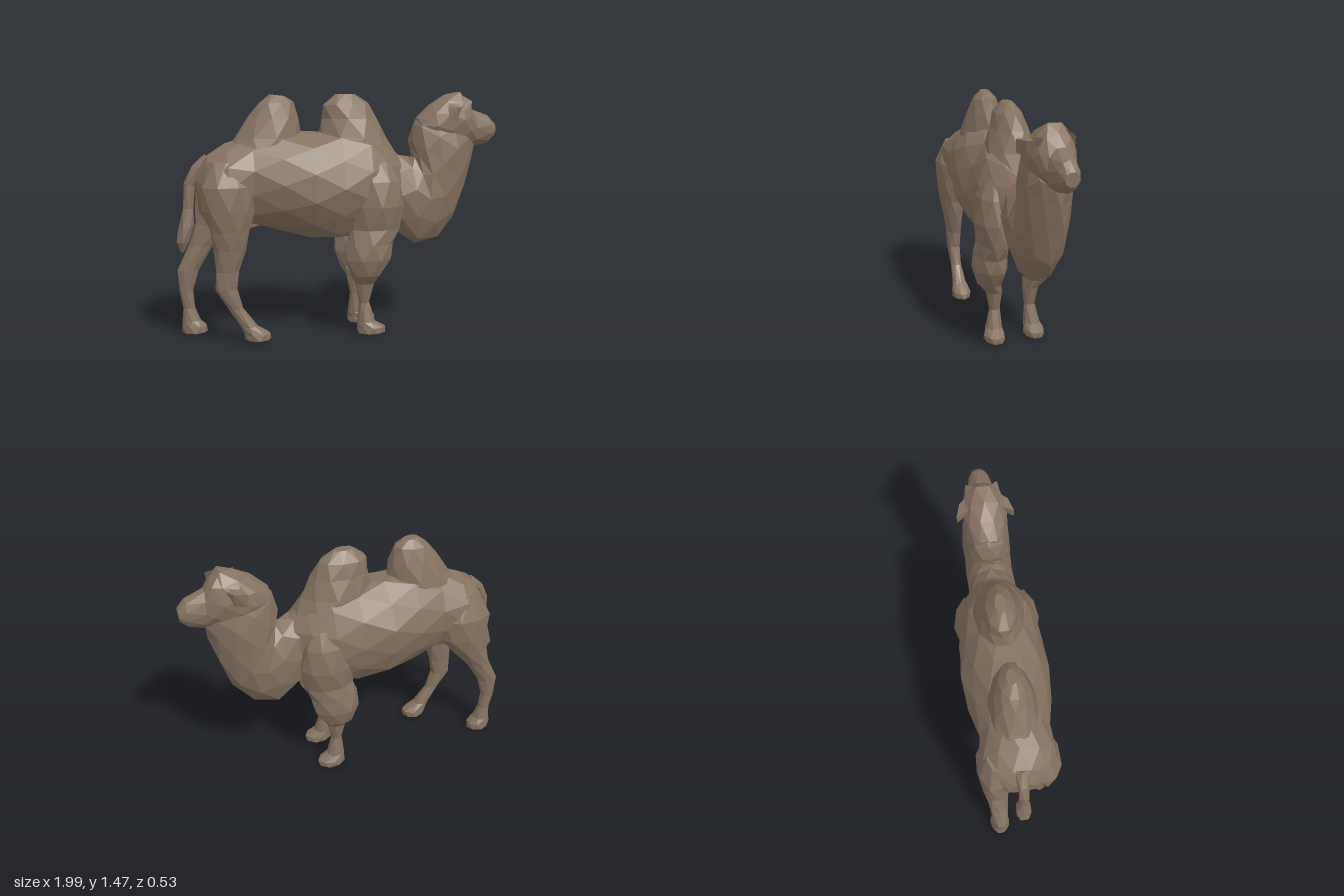
import * as THREE from 'three';
import { ConvexGeometry } from 'three/addons/geometries/ConvexGeometry.js';

const coat = new THREE.MeshStandardMaterial({ color: 0x85725f, flatShading: true });
coat.name = 'brown coat';

// Faceted loft. Each section is [px, py, qx, qy, halfWidth, z]: p and q are opposite
// points of the ring in the side plane. Alternate rings are turned by half a step.
function loft(name, sections, n = 10, rough = 0.025) {
  const pos = [], idx = [];
  sections.forEach(([px, py, qx, qy, b, z = 0], i) => {
    for (let j = 0; j < n; j++) {
      const t = ((j + (i % 2) / 2) / n) * Math.PI * 2;
      const k = 1.02 + rough * Math.sin(7 * i + 3.3 * j);
      const c = (Math.cos(t) * k) / 2, s = Math.sin(t) * k;
      pos.push((px + qx) / 2 + (px - qx) * c, (py + qy) / 2 + (py - qy) * c, z + b * s);
    }
  });
  const at = (i, j) => i * n + (j % n);
  const last = sections.length - 1;
  for (let i = 0; i < last; i++) {
    for (let j = 0; j < n; j++) {
      if (i % 2 === 0) {
        idx.push(at(i, j), at(i, j + 1), at(i + 1, j));
        idx.push(at(i + 1, j), at(i, j + 1), at(i + 1, j + 1));
      } else {
        idx.push(at(i, j), at(i + 1, j + 1), at(i + 1, j));
        idx.push(at(i, j), at(i, j + 1), at(i + 1, j + 1));
      }
    }
  }
  // end caps
  for (let j = 1; j < n - 1; j++) {
    idx.push(at(0, 0), at(0, j + 1), at(0, j));
    idx.push(at(last, 0), at(last, j), at(last, j + 1));
  }
  const g = new THREE.BufferGeometry();
  g.setAttribute('position', new THREE.Float32BufferAttribute(pos, 3));
  g.setIndex(idx);
  g.computeVertexNormals();
  const mesh = new THREE.Mesh(g, coat);
  mesh.name = name;
  return mesh;
}

// Small convex lump from a few corner points, mirrored by side
function lump(name, points, side = 1) {
  const g = new ConvexGeometry(points.map(([x, y, z]) => new THREE.Vector3(x, y, z * side)));
  const mesh = new THREE.Mesh(g, coat);
  mesh.name = name;
  return mesh;
}

// Leg sections are [backX, frontX, y, halfWidth, z], top to bottom
const leg = (name, side, rows) =>
  loft(name, rows.map(([back, front, y, b, z]) => [front, y, back, y, b, z * side]), 8);

export function createModel() {
  const model = new THREE.Group();
  model.name = 'camel';

  // Trunk, rump to chest
  model.add(loft('body', [
    [-0.87, 1.02, -0.86, 0.78, 0.09],
    [-0.81, 1.11, -0.81, 0.70, 0.19],
    [-0.70, 1.17, -0.70, 0.68, 0.225],
    [-0.55, 1.22, -0.55, 0.70, 0.20],
    [-0.38, 1.24, -0.38, 0.65, 0.235],
    [-0.20, 1.24, -0.20, 0.61, 0.26],
    [-0.02, 1.24, -0.02, 0.59, 0.24],
    [0.15, 1.25, 0.15, 0.61, 0.23],
    [0.28, 1.16, 0.28, 0.65, 0.19],
    [0.38, 1.08, 0.36, 0.70, 0.11],
  ], 12));

  // Humps, base to crown
  model.add(loft('rearHump', [
    [-0.72, 1.10, -0.22, 1.10, 0.15],
    [-0.64, 1.21, -0.25, 1.21, 0.13],
    [-0.55, 1.34, -0.26, 1.32, 0.10],
    [-0.50, 1.41, -0.29, 1.42, 0.07],
    [-0.43, 1.465, -0.34, 1.455, 0.03],
  ], 9));
  model.add(loft('frontHump', [
    [-0.18, 1.10, 0.36, 1.08, 0.16],
    [-0.13, 1.22, 0.28, 1.20, 0.14],
    [-0.11, 1.32, 0.22, 1.32, 0.105],
    [-0.11, 1.40, 0.17, 1.41, 0.08],
    [-0.03, 1.465, 0.09, 1.465, 0.03],
  ], 9));

  // Low-slung neck curving up to the throat
  model.add(loft('neck', [
    [0.22, 1.15, 0.24, 0.74, 0.13],
    [0.35, 1.10, 0.36, 0.61, 0.145],
    [0.43, 1.07, 0.48, 0.53, 0.145],
    [0.46, 1.08, 0.62, 0.57, 0.14],
    [0.455, 1.12, 0.73, 0.70, 0.14],
    [0.44, 1.18, 0.80, 0.90, 0.14],
    [0.46, 1.28, 0.84, 1.06, 0.135],
    [0.53, 1.37, 0.86, 1.15, 0.11],
  ]));

  // Skull and muzzle
  model.add(loft('head', [
    [0.48, 1.32, 0.52, 1.18, 0.08],
    [0.57, 1.40, 0.60, 1.14, 0.12],
    [0.66, 1.455, 0.68, 1.13, 0.13],
    [0.75, 1.48, 0.76, 1.13, 0.12],
    [0.80, 1.43, 0.81, 1.14, 0.105],
    [0.84, 1.37, 0.87, 1.14, 0.08],
    [0.95, 1.33, 0.95, 1.16, 0.06],
    [0.995, 1.28, 0.99, 1.20, 0.04],
  ], 10, 0.01));

  for (const side of [1, -1]) {
    const tag = side > 0 ? 'right' : 'left';
    // Ear sweeping back and out
    model.add(lump(tag + 'Ear', [
      [0.76, 1.39, 0.08], [0.66, 1.40, 0.08], [0.68, 1.31, 0.09],
      [0.63, 1.38, 0.165], [0.635, 1.31, 0.165], [0.70, 1.30, 0.13],
      [0.71, 1.385, 0.14],
    ], side));
    // Heavy brow over the eye
    model.add(lump(tag + 'Brow', [
      [0.66, 1.43, 0.06], [0.66, 1.39, 0.11], [0.77, 1.45, 0.05],
      [0.81, 1.42, 0.09], [0.80, 1.37, 0.10], [0.75, 1.36, 0.11],
    ], side));
    // Foreleg with shoulder and bulky forearm
    model.add(leg(tag + 'Foreleg', side, [
      [0.10, 0.26, 1.10, 0.06, 0.11],
      [0.06, 0.33, 0.95, 0.09, 0.15],
      [0.04, 0.35, 0.80, 0.10, 0.16],
      [0.03, 0.33, 0.66, 0.09, 0.145],
      [0.0, 0.29, 0.57, 0.10, 0.15],
      [-0.01, 0.28, 0.48, 0.105, 0.15],
      [0.03, 0.22, 0.38, 0.075, 0.15],
      [0.065, 0.185, 0.32, 0.05, 0.12],
      [0.09, 0.155, 0.20, 0.034, 0.115],
      [0.08, 0.19, 0.08, 0.05, 0.125],
      [0.08, 0.25, 0.045, 0.062, 0.13],
      [0.08, 0.25, 0.01, 0.062, 0.13],
    ]));
  }

  // Hind legs in mid-stride: one forward, one trailing
  model.add(leg('rightHindLeg', 1, [
    [-0.80, -0.62, 1.08, 0.07, 0.11],
    [-0.86, -0.55, 0.94, 0.09, 0.15],
    [-0.85, -0.55, 0.80, 0.09, 0.15],
    [-0.81, -0.58, 0.68, 0.08, 0.145],
    [-0.79, -0.60, 0.57, 0.065, 0.14],
    [-0.78, -0.64, 0.44, 0.05, 0.135],
    [-0.785, -0.655, 0.33, 0.045, 0.135],
    [-0.71, -0.62, 0.21, 0.035, 0.135],
    [-0.64, -0.54, 0.10, 0.045, 0.135],
    [-0.62, -0.46, 0.05, 0.06, 0.135],
    [-0.61, -0.46, 0.015, 0.06, 0.135],
  ]));
  model.add(leg('leftHindLeg', -1, [
    [-0.80, -0.62, 1.08, 0.07, 0.11],
    [-0.87, -0.55, 0.94, 0.09, 0.15],
    [-0.87, -0.56, 0.80, 0.09, 0.15],
    [-0.88, -0.65, 0.68, 0.08, 0.145],
    [-0.92, -0.77, 0.55, 0.06, 0.14],
    [-0.995, -0.86, 0.40, 0.048, 0.135],
    [-0.985, -0.90, 0.27, 0.038, 0.135],
    [-0.965, -0.89, 0.16, 0.035, 0.135],
    [-0.97, -0.86, 0.08, 0.05, 0.135],
    [-0.975, -0.82, 0.045, 0.06, 0.135],
    [-0.97, -0.82, 0.005, 0.06, 0.135],
  ]));

  // Tail with a tufted end
  model.add(loft('tail', [
    [-0.76, 1.06, -0.82, 1.12, 0.04],
    [-0.83, 1.02, -0.90, 1.05, 0.035],
    [-0.88, 0.93, -0.945, 0.95, 0.03],
    [-0.89, 0.80, -0.955, 0.80, 0.03],
    [-0.89, 0.70, -0.98, 0.69, 0.048],
    [-0.92, 0.60, -1.0, 0.60, 0.045],
    [-0.955, 0.535, -0.975, 0.54, 0.012],
  ], 6));

  // Small fold under the belly
  model.add(lump('bellyFold', [
    [-0.60, 0.66, 0.02], [-0.60, 0.66, -0.02], [-0.58, 0.74, 0.03],
    [-0.58, 0.74, -0.03], [-0.46, 0.70, 0.03], [-0.46, 0.70, -0.03],
  ]));

  return model;
}
